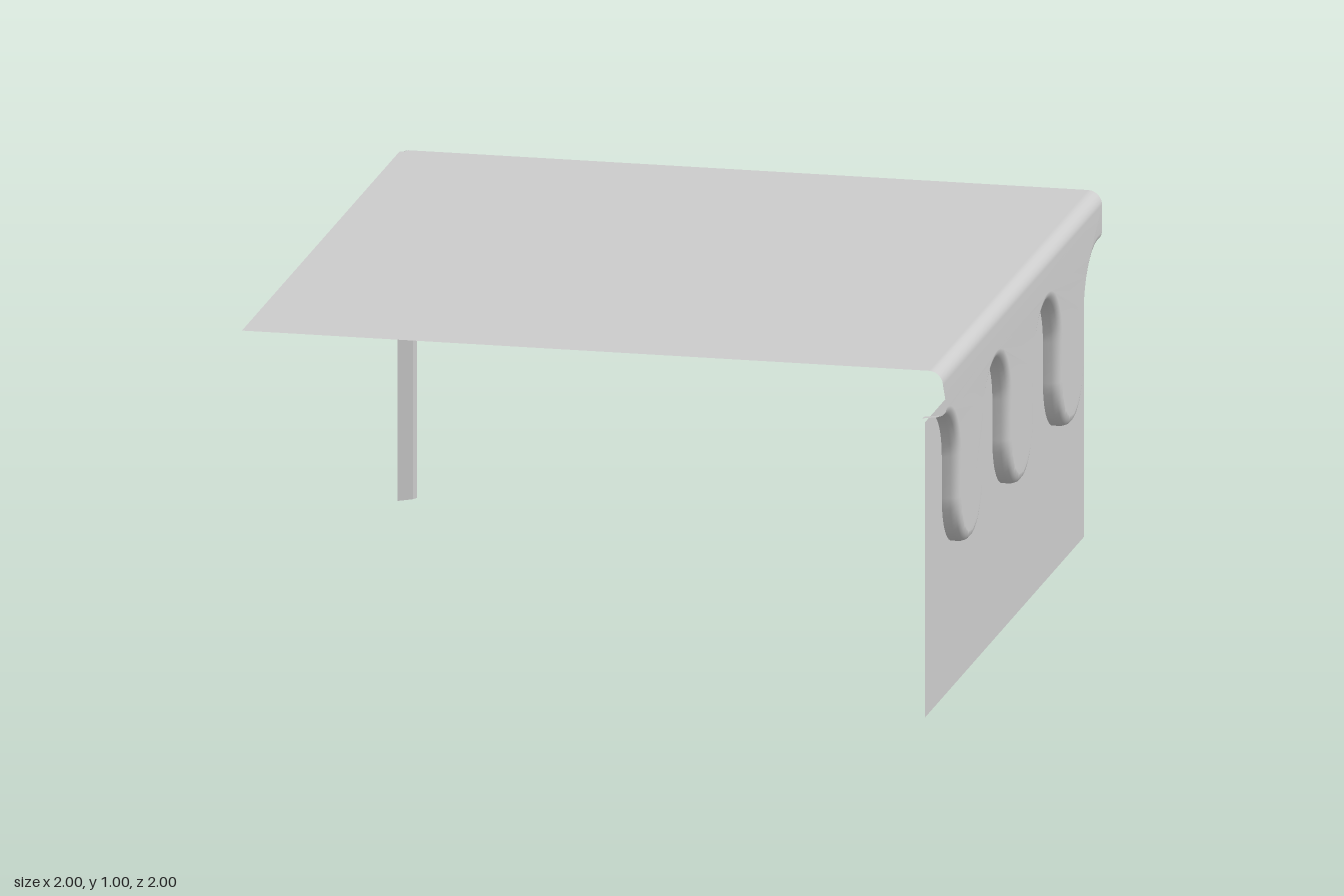
import * as THREE from 'three';
import { mergeGeometries, mergeVertices } from 'three/addons/utils/BufferGeometryUtils.js';

const V = (x, y, z) => new THREE.Vector3(x, y, z);

// Skin between rows of points; rows run top to bottom, points left to right seen from outside
function loft(rows) {
  const n = rows[0].length, index = [];
  for (let i = 0; i < rows.length - 1; i++) {
    for (let j = 0; j < n - 1; j++) {
      const a = i * n + j, c = a + n;
      index.push(a, c, c + 1, a, c + 1, a + 1);
    }
  }
  const g = new THREE.BufferGeometry().setFromPoints(rows.flat());
  g.setIndex(index);
  g.computeVertexNormals();
  return g;
}

// Wavy lower edge of the icing: x runs along the side, y is height
function dripOutline() {
  const r = 0.159, step = 4 * r, archY = 0.696, dripY = 0.58;
  const path = new THREE.Path().moveTo(-1, archY + r);
  path.absarc(-1.5 * step, archY, r, Math.PI / 2, 0, true);
  for (let k = -1; k <= 1; k++) {
    path.absarc(k * step, dripY, r, Math.PI, 2 * Math.PI, false);
    path.absarc((k + 0.5) * step, archY, r, Math.PI, k === 1 ? Math.PI / 2 : 0, true);
  }
  path.lineTo(1, archY + r);
  return path.getPoints(14);
}

export function createModel() {
  const group = new THREE.Group();
  const smooth = new THREE.MeshStandardMaterial({ color: 0xcccccc, side: THREE.DoubleSide });
  const flat = new THREE.MeshStandardMaterial({ color: 0xcccccc, side: THREE.DoubleSide, flatShading: true });
  const add = (name, geometry, material) => {
    const mesh = new THREE.Mesh(geometry, material);
    mesh.name = name;
    group.add(mesh);
  };
  const R = 0.04; // radius of the rolled top edge

  // Icing top, with a small notch at the inner corner
  const topShape = new THREE.Shape().moveTo(-1, -1).lineTo(1 - R, -1).lineTo(1 - R, 1).lineTo(-0.98, 1);
  topShape.absarc(-1, 1, 0.02, 0, -Math.PI / 2, true);
  const top = new THREE.ShapeGeometry(topShape).rotateX(-Math.PI / 2).translate(0, 1, 0);

  // Rolled edge between top and side
  const rollRows = [];
  for (let i = 0; i <= 6; i++) {
    const a = (i / 6) * Math.PI / 2;
    const y = 1 - R + R * Math.cos(a), out = 1 - R + R * Math.sin(a);
    rollRows.push([V(-1, y, out), V(1, y, out)]);
  }
  const roll = loft(rollRows).rotateY(Math.PI / 2);

  // Rounded rim along the drips: [distance inside the outline, outward position]
  const pts = dripOutline();
  const rim = [[0.028, 1], [0.015, 0.997], [0.005, 0.988], [0, 0.974], [0, 0.95]];
  const rimRows = rim.map(([d, out], row) => pts.map((p, i) => {
    const t = pts[Math.min(i + 1, pts.length - 1)].clone().sub(pts[Math.max(i - 1, 0)]).normalize();
    const lip = row === rim.length - 1 && p.y > 0.84 ? 0.02 : 0;
    return V(p.x - t.y * d, p.y + t.x * d - lip * 0.3, out - lip);
  }));
  const rimGeo = loft(rimRows).rotateY(Math.PI / 2);

  // Side face of the icing
  const faceShape = new THREE.Shape([
    ...rimRows[0].map((p) => new THREE.Vector2(p.x, p.y)),
    new THREE.Vector2(1, 1 - R), new THREE.Vector2(-1, 1 - R),
  ]);
  const face = new THREE.ShapeGeometry(faceShape).translate(0, 0, 1).rotateY(Math.PI / 2);

  const parts = [top, roll, face, rimGeo];
  parts.forEach((g) => { g.deleteAttribute('uv'); g.deleteAttribute('normal'); });
  const icing = mergeVertices(mergeGeometries(parts), 1e-4);
  icing.computeVertexNormals();
  add('icing', icing, smooth);

  // Side wall under the icing
  add('sideWall', new THREE.PlaneGeometry(2, 0.85).rotateY(Math.PI / 2).translate(0.948, 0.425, 0), smooth);

  // Inner corner: rolled icing above, icing lip, then the wall sliver
  const cornerLathe = (name, profile) => {
    const g = new THREE.LatheGeometry(profile.map(([r, y]) => new THREE.Vector2(r, y)), 6, 0, Math.PI / 2);
    add(name, g.translate(-1, 0, -1), smooth);
  };
  cornerLathe('cornerRoll', [[0.02, 1], [0.01, 0.997], [0.003, 0.99], [0, 0.98]]);
  cornerLathe('cornerLip', [[0, 0.88], [0.004, 0.868], [0.015, 0.859], [0.03, 0.854], [0.05, 0.85]]);
  const cornerRow = (y) => [V(-0.955, y, -1), V(-0.962, y, -0.985), V(-1, y, -0.957)];
  add('cornerWall', loft([cornerRow(0.85), cornerRow(0)]), flat);

  return group;
}
